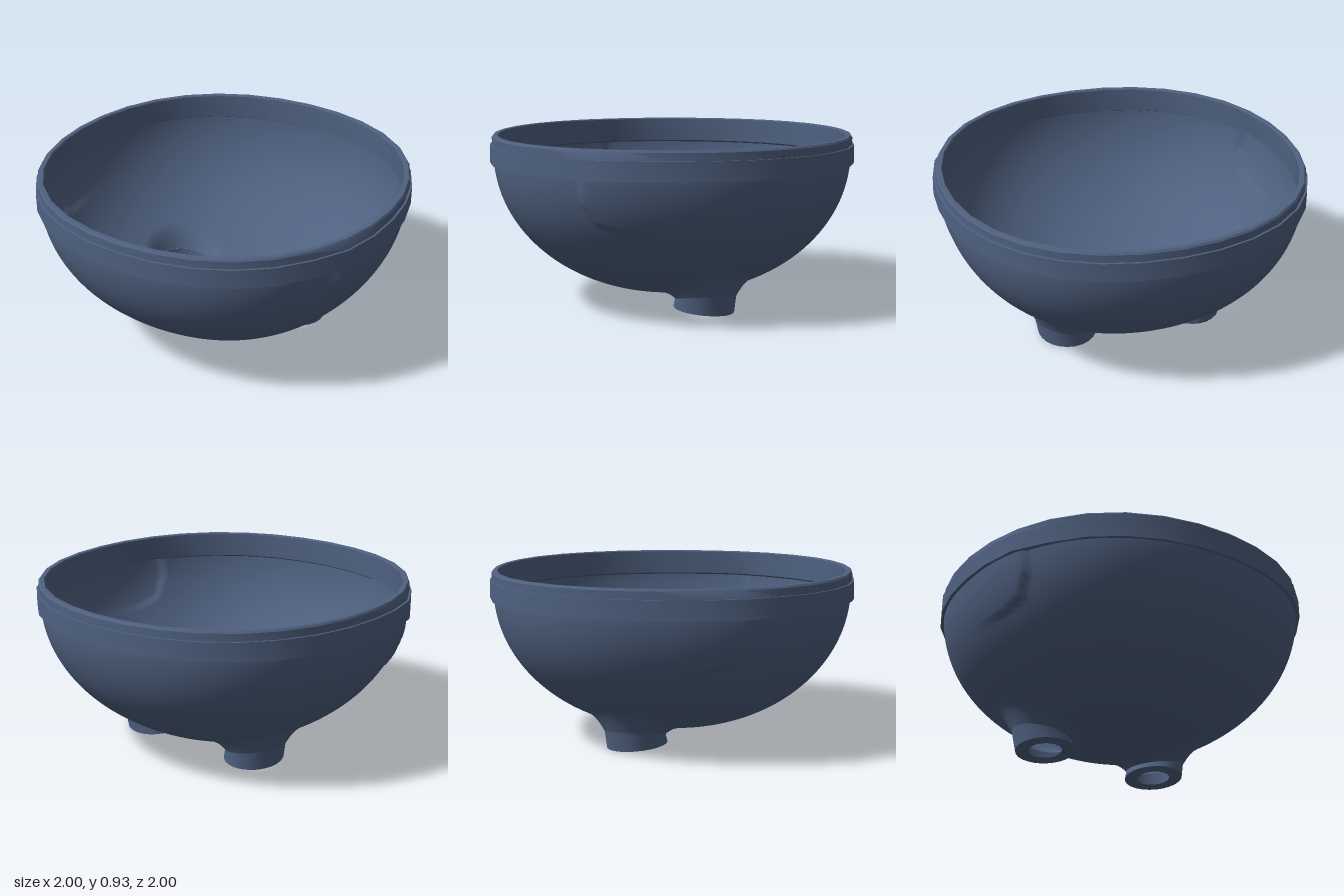
import * as THREE from 'three';
import { toCreasedNormals } from 'three/addons/utils/BufferGeometryUtils.js';

// Bowl: nearly elliptical section of radius a and depth b below the centre height
const BOWL = { a: 0.98, b: 0.783, y: 0.835, power: 2.05 };
// Feet lean slightly: the neck sits further out and back than the base
const BASE = { x: 0.366, z: -0.175, r: 0.163 };
const NECK = { x: 0.384, z: -0.184, r: 0.164 };
const HOLE_RADIUS = 0.09;

const footPlane = (z) => 0.03 + 0.088 * z; // slanted underside of the feet

// The plan is a circle slightly fuller on the diagonals
function squareness(x, z) {
  const s = Math.sin(2 * Math.atan2(x, z));
  return 1 + 0.024 * s * s;
}

// Slight raised panel on each side: crisp at the front and lower corner, fading backwards
function panelBulge(x, y, z) {
  const margin = Math.min(
    0.435 - z, y - 0.51, 0.89 - y, Math.abs(x) - 0.5,
    (y - 0.545 - (z - 0.36) * 1.57) * 0.54, y - 0.505 - (z - 0.2) * 0.25,
  );
  const edge = THREE.MathUtils.clamp(margin / 0.015, 0, 1);
  return 1 + 0.02 * edge * THREE.MathUtils.smoothstep(z, -0.1, 0.43);
}

// Draws the bowl down towards the feet in a soft fillet
function blendToFoot(x, y, z) {
  const d = Math.hypot(Math.abs(x) - NECK.x, z - NECK.z);
  const t = THREE.MathUtils.clamp(1 - (d - NECK.r) / 0.08, 0, 1);
  return THREE.MathUtils.lerp(y, footPlane(z), 0.42 * t * t);
}

// Height of the bowl where it meets the neck of a foot
function bowlHeight(x, z) {
  const u = Math.hypot(x, z) / (BOWL.a * squareness(x, z));
  const y = BOWL.y - BOWL.b * (1 - u ** BOWL.power) ** (1 / BOWL.power);
  return blendToFoot(x, y, z);
}

// Thin bowl wall with a round opening over each foot
function bowlGeometry() {
  const rings = 72, segs = 256;
  const pos = [], index = [], cut = [];
  for (let i = 0; i <= rings; i++) {
    const a = (i / rings) * Math.PI / 2;
    const radius = BOWL.a * Math.sin(a) ** (2 / BOWL.power);
    const height = BOWL.y - BOWL.b * Math.max(Math.cos(a), 0) ** (2 / BOWL.power);
    for (let j = 0; j < segs; j++) {
      const phi = (j / segs) * Math.PI * 2;
      const r = radius * squareness(Math.sin(phi), Math.cos(phi));
      let x = r * Math.sin(phi), y = height, z = r * Math.cos(phi);
      const side = Math.sign(x) || 1;
      const dx = x - side * NECK.x, dz = z - NECK.z;
      const d = Math.hypot(dx, dz);
      const inHole = d < NECK.r;
      if (inHole) {
        // snap to the edge of the opening
        const k = NECK.r / Math.max(d, 1e-4);
        x = side * NECK.x + dx * k;
        z = NECK.z + dz * k;
        y = bowlHeight(x, z);
      } else {
        const bulge = panelBulge(x, y, z);
        y = blendToFoot(x, y, z);
        x *= bulge;
        z *= bulge;
      }
      cut.push(inHole);
      pos.push(x, y, z);
    }
  }
  const face = (a, b, c) => {
    if (!(cut[a] && cut[b] && cut[c])) index.push(a, b, c);
  };
  for (let i = 0; i < rings; i++) {
    for (let j = 0; j < segs; j++) {
      const k = (j + 1) % segs;
      const a = i * segs + j, b = i * segs + k, c = a + segs, d = b + segs;
      if (i > 0) face(a, b, c);
      face(b, d, c);
    }
  }
  const geo = new THREE.BufferGeometry();
  geo.setAttribute('position', new THREE.Float32BufferAttribute(pos, 3));
  geo.setIndex(index);
  geo.computeVertexNormals();
  return geo;
}

// Hollow foot lofted from rings: hole, base edge, neck
function footGeometry(side) {
  const segs = 24;
  const rows = [
    [BASE, HOLE_RADIUS, (x, z) => footPlane(z)],
    [BASE, BASE.r, (x, z) => footPlane(z)],
    [NECK, NECK.r, bowlHeight],
  ];
  const pos = [], index = [];
  rows.forEach(([centre, r, height], i) => {
    for (let j = 0; j < segs; j++) {
      const phi = (j / segs) * Math.PI * 2;
      const x = side * centre.x + r * Math.sin(phi), z = centre.z + r * Math.cos(phi);
      pos.push(x, height(x, z), z);
      if (i === rows.length - 1) continue;
      const k = (j + 1) % segs;
      const a = i * segs + j, b = i * segs + k;
      index.push(a, b, a + segs, b, b + segs, a + segs);
    }
  });
  const geo = new THREE.BufferGeometry();
  geo.setAttribute('position', new THREE.Float32BufferAttribute(pos, 3));
  geo.setIndex(index);
  return toCreasedNormals(geo, 0.6);
}

// Rim with a raised band outside and an overhanging lip inside
function rimGeometry() {
  const profile = [
    [0.953, 0.79], [0.972, 0.78], [0.998, 0.78], [0.998, 0.88], [0.987, 0.88], [0.987, 0.92],
    [0.98, 0.93], [0.957, 0.93], [0.953, 0.925], [0.953, 0.79],
  ].map(([r, y]) => new THREE.Vector2(r, y));
  const geo = new THREE.LatheGeometry(profile, 32);
  const p = geo.attributes.position;
  for (let i = 0; i < p.count; i++) {
    const k = squareness(p.getX(i), p.getZ(i));
    const x = p.getX(i) * k, y = p.getY(i), z = p.getZ(i) * k;
    const bulge = panelBulge(x, y, z);
    p.setXYZ(i, x * bulge, y, z * bulge);
  }
  return toCreasedNormals(geo, 0.5);
}

export function createModel() {
  const group = new THREE.Group();
  group.name = 'footedBowl';
  const material = new THREE.MeshStandardMaterial({ color: 0x4f6180, side: THREE.DoubleSide });
  const add = (name, geometry) => {
    const mesh = new THREE.Mesh(geometry, material);
    mesh.name = name;
    group.add(mesh);
  };
  add('bowl', bowlGeometry());
  add('rim', rimGeometry());
  add('leftFoot', footGeometry(1));
  add('rightFoot', footGeometry(-1));
  return group;
}
